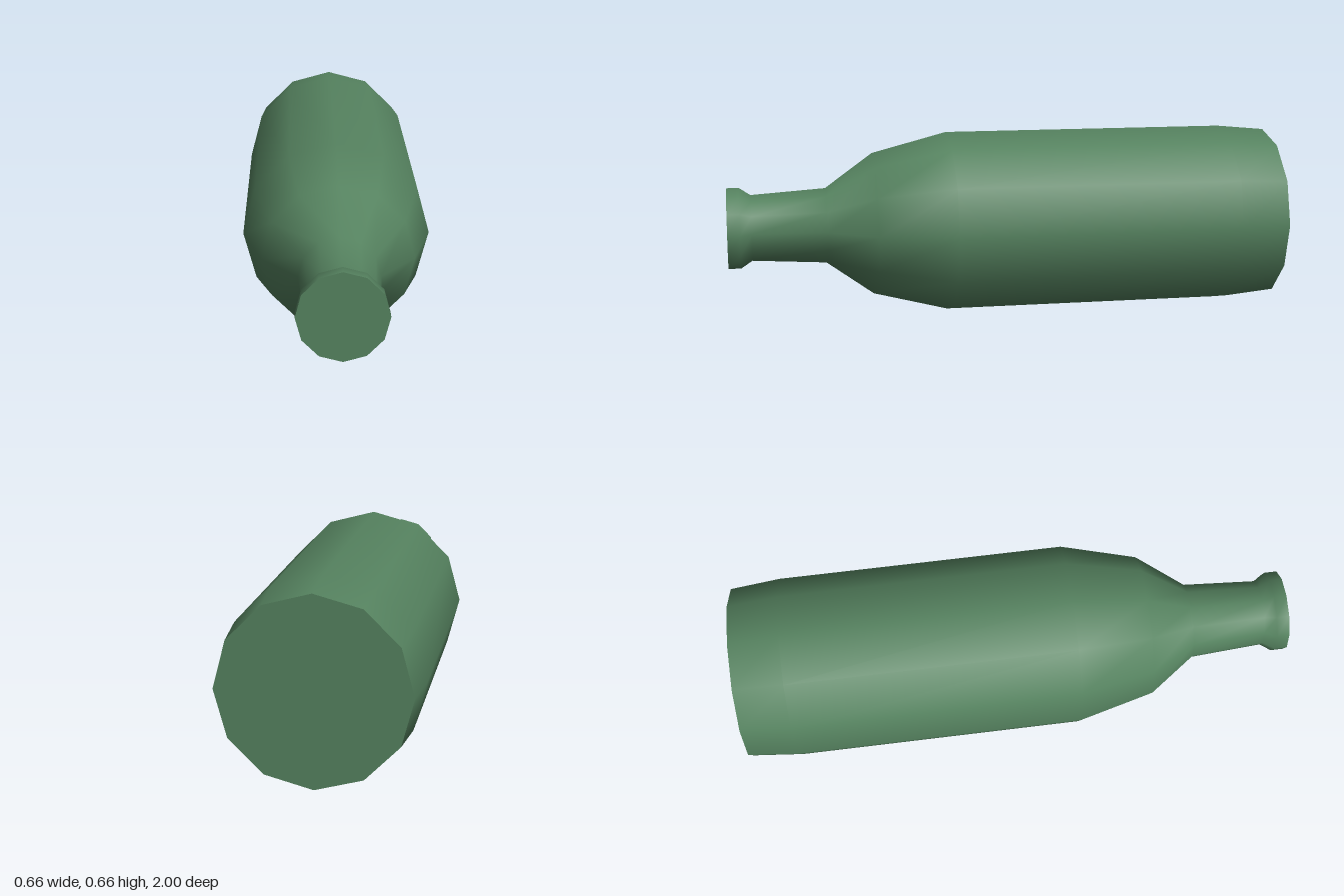
import * as THREE from 'three';

const SIDES = 12;
const AXIS_HEIGHT = 0.33;

// Bottle outline from base to mouth: [radius, distance along the axis]
const PROFILE = [
  [0.313, -1], [0.33, -0.82], [0.33, 0.21], [0.26, 0.48],
  [0.137, 0.65], [0.12, 0.915], [0.147, 0.955], [0.147, 1],
];

export function createModel() {
  const bottle = new THREE.Group();
  bottle.name = 'bottle';
  const glass = new THREE.MeshStandardMaterial({ color: 0x55825f });

  const add = (name, geometry, z = 0) => {
    const mesh = new THREE.Mesh(geometry, glass);
    mesh.name = name;
    mesh.position.set(0, AXIS_HEIGHT, z);
    bottle.add(mesh);
  };

  // Smooth body, shoulder, neck and lip, laid along z with the mouth forward
  const points = PROFILE.map(([r, z]) => new THREE.Vector2(r, z));
  add('bottleBody', new THREE.LatheGeometry(points, SIDES).rotateX(Math.PI / 2));

  // Flat ends, kept separate for a crisp edge
  add('mouthCap', new THREE.CircleGeometry(0.147, SIDES), 1);
  add('baseCap', new THREE.CircleGeometry(0.313, SIDES).rotateY(Math.PI), -1);

  return bottle;
}
